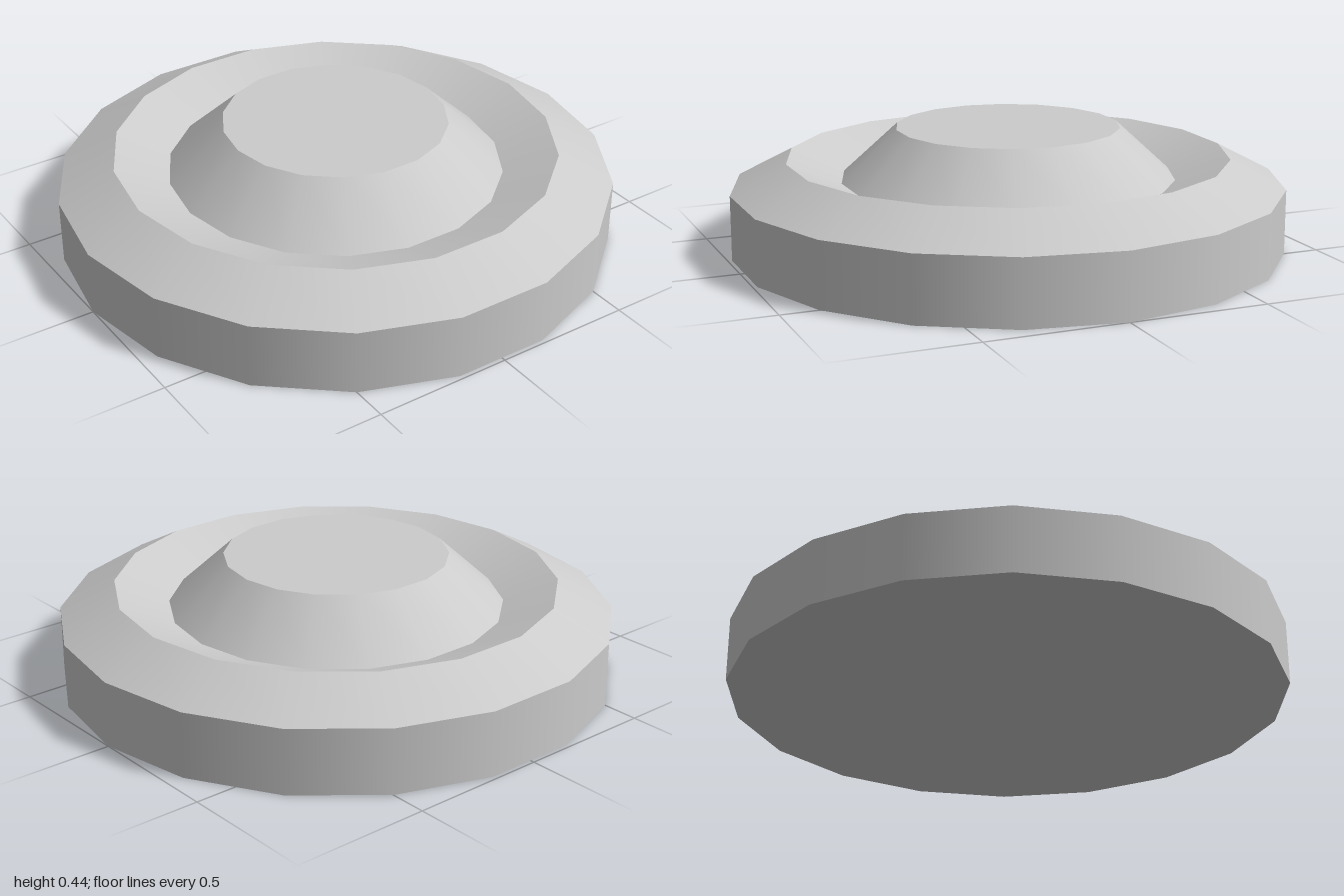
import * as THREE from 'three';

const SIDES = 18;

export function createModel() {
  const group = new THREE.Group();
  group.name = 'steppedDisc';
  const material = new THREE.MeshStandardMaterial({ color: 0xcccccc });

  // Profile as [radius, height], from the base centre outward and up to the top centre
  const profile = [
    [0, 0], [1, 0], [1, 0.235], [0.8, 0.34],
    [0.605, 0.26], [0.405, 0.445], [0, 0.445],
  ].map(([r, y]) => new THREE.Vector2(r, y));

  const names = ['base', 'outerWall', 'outerBevel', 'grooveSlope', 'centreCone', 'topCap'];

  // One band per profile segment: smooth around, sharp between bands
  names.forEach((name, i) => {
    const band = new THREE.LatheGeometry([profile[i], profile[i + 1]], SIDES, Math.PI / 2);
    const mesh = new THREE.Mesh(band, material);
    mesh.name = name;
    group.add(mesh);
  });

  return group;
}
